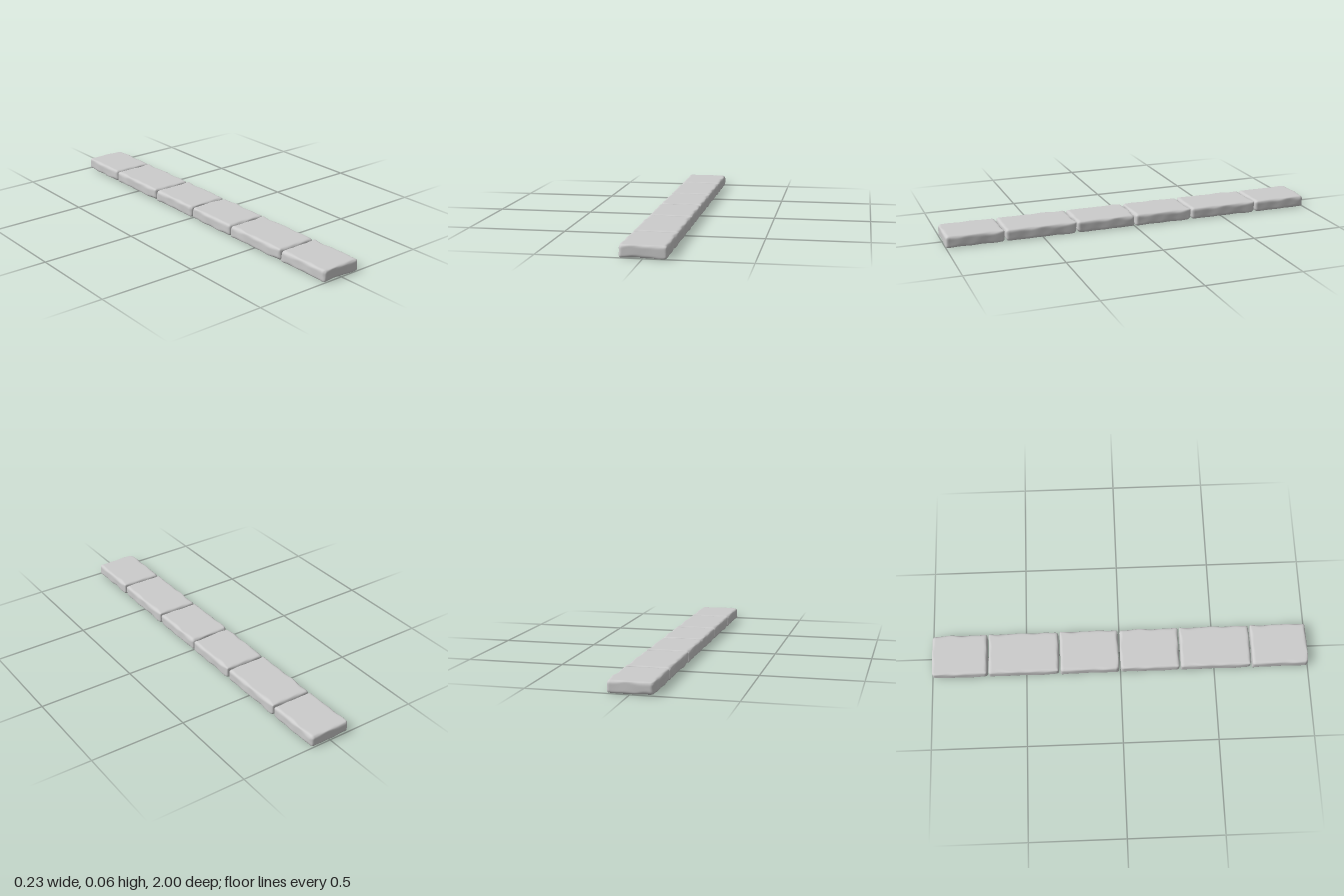
import * as THREE from 'three';
import { mergeVertices } from 'three/addons/utils/BufferGeometryUtils.js';

const HALF_WIDTH = 0.113, HEIGHT = 0.061, GAP = 0.006;
const BAND = 0.027, BAND_CELLS = 5;

// Places grid lines densely in a band along each edge and evenly between
function remap(t, cells, half) {
  const i = Math.round((t + 1) / 2 * cells);
  const inner = half - BAND;
  if (i <= BAND_CELLS) return -half + BAND * i / BAND_CELLS;
  if (i >= cells - BAND_CELLS) return half - BAND * (cells - i) / BAND_CELLS;
  return -inner + 2 * inner * (i - BAND_CELLS) / (cells - 2 * BAND_CELLS);
}

// Smooth wear pattern, from -1 to 1
function wear(x, y, z, seed) {
  return (Math.sin(23 * x + 31 * z + 40 * y + seed * 2.1)
    + Math.sin(41 * z - 37 * x + 25 * y + seed * 4.7)
    + 0.6 * Math.sin(67 * x + 59 * z - 50 * y + seed * 1.3)) / 2.6;
}

// Slab with flat top and bottom, unevenly rounded edges and slightly wavy sides
function stoneGeometry(length, seed) {
  const half = [HALF_WIDTH, HEIGHT / 2, length / 2];
  const cells = [24, 12, 34];
  const geometry = new THREE.BoxGeometry(2, 2, 2, ...cells);
  geometry.deleteAttribute('uv');
  geometry.deleteAttribute('normal');
  const position = geometry.attributes.position;
  const inner = new THREE.Vector3();
  for (let i = 0; i < position.count; i++) {
    const p = new THREE.Vector3().fromBufferAttribute(position, i);
    p.set(...p.toArray().map((t, a) => remap(t, cells[a], half[a])));
    const w = wear(p.x, p.y, p.z, seed);
    const r = 0.014 + 0.009 * w;
    inner.set(...p.toArray().map((v, a) => THREE.MathUtils.clamp(v, r - half[a], half[a] - r)));
    p.sub(inner).setLength(r).add(inner);
    const inset = 0.003 * (0.5 + 0.5 * wear(p.z, p.x, p.y, seed + 3));
    p.x *= 1 - inset / half[0];
    p.z *= 1 - inset * 0.5 / half[2];
    position.setXYZ(i, p.x, p.y, p.z);
  }
  const smooth = mergeVertices(geometry, 1e-5);
  smooth.computeVertexNormals();
  return smooth;
}

export function createModel() {
  const group = new THREE.Group();
  group.name = 'stoneRow';
  const material = new THREE.MeshStandardMaterial({ color: 0xcccccc });
  // Joints between neighbouring stones, from back to front
  const joints = [-1 - GAP / 2, -0.702, -0.322, -0.003, 0.318, 0.698, 1 + GAP / 2];
  for (let i = 0; i < 6; i++) {
    const length = joints[i + 1] - joints[i] - GAP;
    const stone = new THREE.Mesh(stoneGeometry(length, (i % 3) * 2.4 + 1), material);
    stone.name = `stone${i + 1}`;
    stone.position.set(0, HEIGHT / 2, (joints[i] + joints[i + 1]) / 2);
    group.add(stone);
  }
  return group;
}
